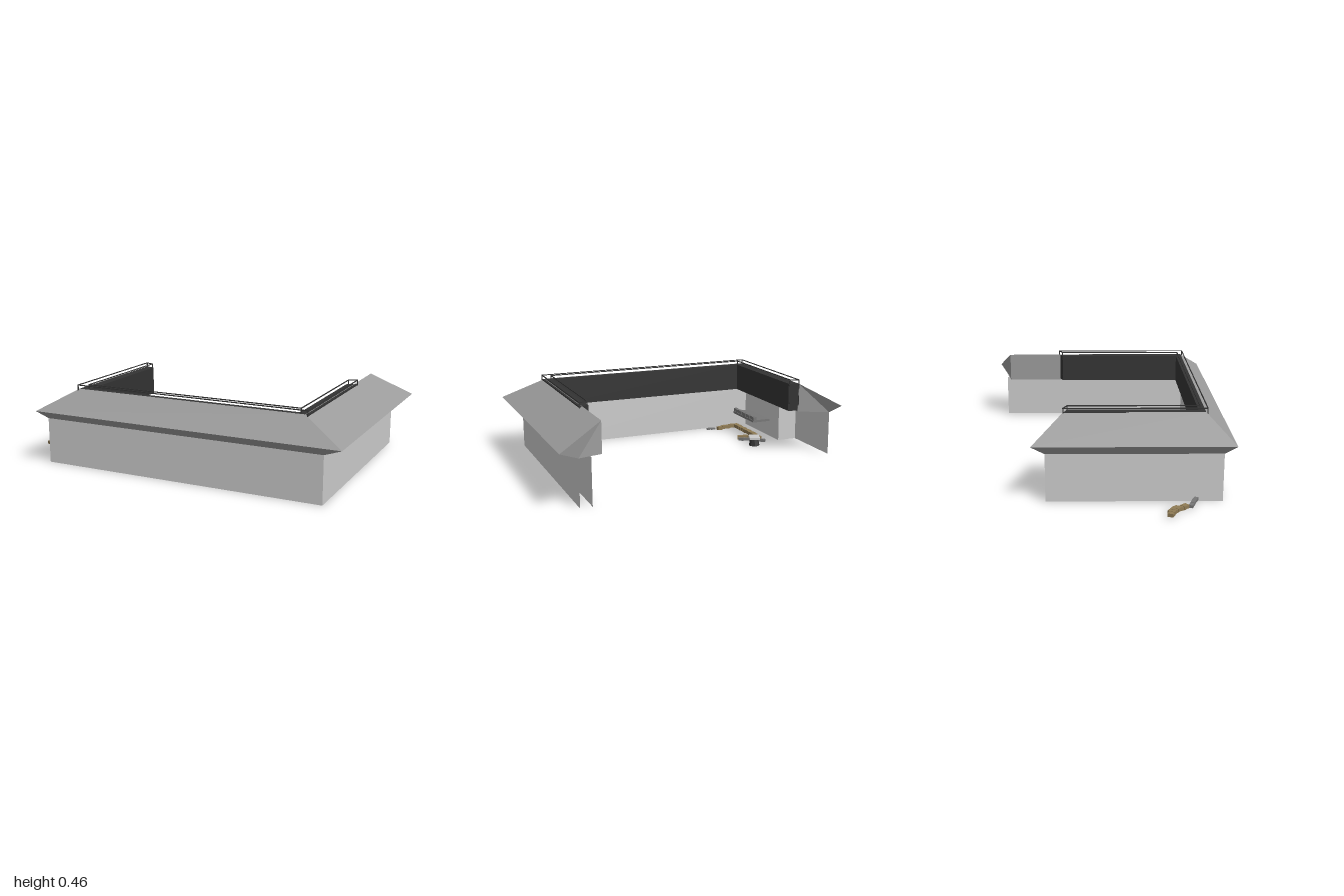
import * as THREE from 'three';

const mat = (color) =>
  new THREE.MeshStandardMaterial({ color, side: THREE.DoubleSide, flatShading: true });
const wallMat = mat(0xcccccc), roofMat = mat(0x9c9c9c), darkMat = mat(0x333333);
const brownMat = mat(0x8f7b55), stoneMat = mat(0x777777);

// Four stations of the U: left end, left corner, right corner, right end
const stations = ({ xl, xr, zf, zl, zr, y }) =>
  [[xl, zl], [xl, zf], [xr, zf], [xr, zr]].map(([x, z]) => new THREE.Vector3(x, y, z));

// Sweeps a section around the U with mitred corners; a four-point section is closed and capped
function sweep(name, section, material, first = 0) {
  const rings = section.map(stations);
  const closed = section.length === 4;
  const pos = [];
  const tri = (...pts) => pts.forEach(p => pos.push(p.x, p.y, p.z));
  for (let s = first; s < 3; s++) {
    for (let k = 0; k < (closed ? 4 : section.length - 1); k++) {
      const a = rings[k], b = rings[(k + 1) % section.length];
      tri(a[s], b[s], a[s + 1]);
      tri(b[s], b[s + 1], a[s + 1]);
    }
  }
  if (closed) {
    const start = rings.map(r => r[first]), end = rings.map(r => r[3]);
    tri(start[0], start[2], start[1]);
    tri(start[0], start[3], start[2]);
    tri(end[0], end[1], end[2]);
    tri(end[0], end[2], end[3]);
  }
  const geo = new THREE.BufferGeometry();
  geo.setAttribute('position', new THREE.Float32BufferAttribute(pos, 3));
  geo.computeVertexNormals();
  const mesh = new THREE.Mesh(geo, material);
  mesh.name = name;
  return mesh;
}

function box(name, size, at, material, turn = 0) {
  const mesh = new THREE.Mesh(new THREE.BoxGeometry(...size), material);
  mesh.position.set(...at);
  mesh.rotation.y = turn;
  mesh.name = name;
  return mesh;
}

// Square bar between two points
function bar(name, a, b, t = 0.005) {
  const mesh = box(name, [t, t, a.distanceTo(b) + t], [0, 0, 0], darkMat);
  mesh.position.copy(a).lerp(b, 0.5);
  mesh.lookAt(b);
  return mesh;
}

// Row of small blocks along a curve of [x, z] points
function blockRow(name, points, count, size, material, y = size[1] / 2) {
  const row = new THREE.Group();
  row.name = name;
  const curve = new THREE.CatmullRomCurve3(points.map(([x, z]) => new THREE.Vector3(x, y, z)));
  for (let i = 0; i < count; i++) {
    const u = (i + 0.5) / count, p = curve.getPointAt(u), d = curve.getTangentAt(u);
    const wobble = 0.12 * Math.sin(i * 2.7);
    row.add(box('block', size, [p.x, y + 0.002 * (i % 2), p.z], material, Math.atan2(-d.z, d.x) + wobble));
  }
  return row;
}

export function createModel() {
  const model = new THREE.Group();
  model.name = 'courtyardBuilding';

  // Hipped roof with sloping soffit and upright inner face
  const ridge = { xl: -0.595, xr: 0.76, zf: 0.55, zl: -0.2, zr: -0.6, y: 0.432 };
  const eave = { xl: -0.8, xr: 1, zf: 0.69, zl: -0.36, zr: -0.69, y: 0.31 };
  const wallOut = { xl: -0.76, xr: 0.89, zf: 0.63, zl: -0.29, zr: -0.63, y: 0.26 };
  model.add(sweep('roof', [ridge, eave, wallOut, { ...ridge, y: 0.26 }], roofMat));

  // Thin outer wall all round, thin inner wall on the front and right, open between
  const wallIn = { ...wallOut, xl: -0.635, xr: 0.825, zf: 0.565 };
  model.add(sweep('outerWall', [wallOut, { ...wallOut, y: 0 }], wallMat));
  model.add(sweep('innerWall', [{ ...wallIn, y: 0 }, wallIn], wallMat, 1));

  // Thick part of the left wing
  model.add(box('leftThickWall', [0.123, 0.258, 0.528], [-0.6975, 0.13, 0.365], wallMat));

  // Dark fascia facing the courtyard
  const bandOut = { xl: -0.598, xr: 0.776, zf: 0.55, zl: -0.2, zr: -0.27, y: 0.431 };
  const bandIn = { xl: -0.54, xr: 0.72, zf: 0.515, zl: -0.18, zr: -0.245, y: 0.431 };
  model.add(sweep('fascia',
    [bandIn, bandOut, { ...bandOut, y: 0.265 }, { ...bandIn, y: 0.265 }], darkMat));

  // Twin roof rails with posts at corners and ends
  const rails = new THREE.Group();
  rails.name = 'roofRails';
  const lines = [
    { xl: -0.598, xr: 0.776, zf: 0.558, zl: -0.2, zr: -0.27, y: 0.454 },
    { xl: -0.548, xr: 0.728, zf: 0.522, zl: -0.18, zr: -0.247, y: 0.454 },
  ].map(stations);
  for (const line of lines) {
    line.forEach((p, i) => {
      if (i < 3) rails.add(bar('rail', p, line[i + 1]));
      rails.add(bar('post', p, p.clone().setY(i % 3 ? 0.425 : 0.3)));
    });
  }
  for (const i of [0, 3]) rails.add(bar('endRail', lines[0][i], lines[1][i]));
  model.add(rails);

  // Shelf against the thick wall
  model.add(box('shelf', [0.12, 0.014, 0.29], [-0.575, 0.108, 0.365], stoneMat));

  // Scattered rubble on both sides of the left wing
  const rubble = new THREE.Group();
  rubble.name = 'rubble';
  rubble.add(
    blockRow('outerPile', [[-0.98, 0.34], [-0.92, 0.37], [-0.87, 0.43]], 6, [0.036, 0.018, 0.03], brownMat, 0.018),
    blockRow('outerPileSecond', [[-0.95, 0.34], [-0.89, 0.38]], 3, [0.035, 0.018, 0.025], brownMat, 0.02),
    blockRow('outerStones', [[-0.88, 0.45], [-0.77, 0.49]], 3, [0.04, 0.015, 0.022], stoneMat, 0.02),
    blockRow('innerStones', [[-0.54, 0.1], [-0.48, 0.15], [-0.4, 0.2]], 5, [0.035, 0.018, 0.016], stoneMat),
    blockRow('innerPile', [[-0.54, 0.16], [-0.48, 0.21], [-0.41, 0.23]], 5, [0.034, 0.022, 0.022], brownMat),
    blockRow('wallRow', [[-0.535, 0.22], [-0.535, 0.51]], 9, [0.03, 0.022, 0.03], brownMat),
    blockRow('shelfRow', [[-0.527, 0.22], [-0.527, 0.51]], 10, [0.026, 0.02, 0.022], stoneMat, 0.125),
    blockRow('cornerPile', [[-0.55, 0.52], [-0.47, 0.51], [-0.39, 0.49]], 5, [0.036, 0.022, 0.022], brownMat),
    blockRow('cornerStones', [[-0.38, 0.515], [-0.32, 0.515]], 2, [0.03, 0.012, 0.012], stoneMat),
  );
  model.add(rubble);

  // Small stool in the courtyard
  const stool = new THREE.Group();
  stool.name = 'stool';
  stool.position.set(-0.44, 0, 0.06);
  stool.rotation.y = -0.35;
  stool.add(box('seat', [0.065, 0.014, 0.08], [0, 0.05, 0], wallMat));
  const base = new THREE.Mesh(new THREE.CylinderGeometry(0.025, 0.034, 0.043, 8), darkMat);
  base.position.y = 0.0215;
  base.name = 'base';
  stool.add(base);
  model.add(stool);

  return model;
}
